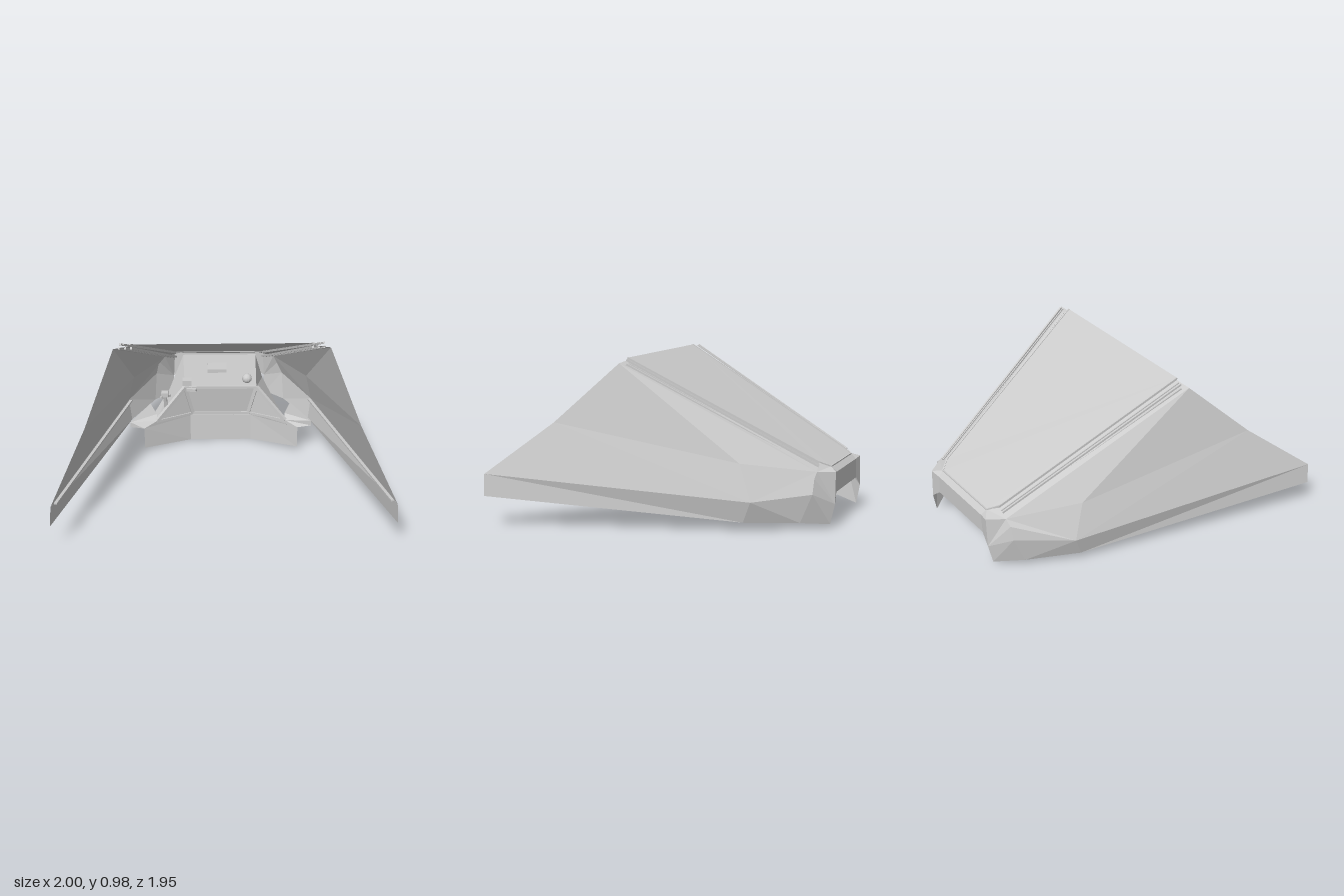
import * as THREE from 'three';

const mat = new THREE.MeshStandardMaterial({ color: 0xcccccc, flatShading: true, side: THREE.DoubleSide });
const flip = (p) => [-p[0], p[1], p[2]];

// Faceted sheet from named corner points; each face is a convex corner loop.
function sheet(name, faces) {
  const pos = [];
  for (const f of faces)
    for (let i = 1; i < f.length - 1; i++) pos.push(...f[0], ...f[i], ...f[i + 1]);
  const g = new THREE.BufferGeometry();
  g.setAttribute('position', new THREE.Float32BufferAttribute(pos, 3));
  g.computeVertexNormals();
  const m = new THREE.Mesh(g, mat);
  m.name = name;
  return m;
}

// The same sheet on both sides of the model.
function pair(name, faces) {
  const g = new THREE.Group();
  g.name = name + 's';
  g.add(sheet(name + 'Left', faces));
  g.add(sheet(name + 'Right', faces.map((f) => f.map(flip).reverse())));
  return g;
}

// Square bar between two points.
function bar(name, a, b, w = 0.012, h = w) {
  const A = new THREE.Vector3(...a), B = new THREE.Vector3(...b);
  const m = new THREE.Mesh(new THREE.BoxGeometry(w, h, A.distanceTo(B)), mat);
  m.position.copy(A).add(B).multiplyScalar(0.5);
  m.lookAt(B);
  m.name = name;
  return m;
}

function bars(name, a, b, w, h) {
  const g = new THREE.Group();
  g.name = name + 's';
  g.add(bar(name + 'Left', a, b, w, h), bar(name + 'Right', flip(a), flip(b), w, h));
  return g;
}

function box(name, size, at) {
  const m = new THREE.Mesh(new THREE.BoxGeometry(...size), mat);
  m.position.set(...at);
  m.name = name;
  return m;
}

function shell() {
  const g = new THREE.Group();
  g.name = 'shell';

  // Roof panel with clipped rear corners
  const P0 = [0.55, 0.98, 0.24], P1 = [0.30, 0.38, -0.87], P2 = [0.25, 0.35, -0.93];
  g.add(sheet('roofPanel', [[flip(P0), P0, P1, P2, flip(P2), flip(P1)]]));

  // Edge strips beside the panel
  const A = [0.65, 0.955, 0.25], H = [0.38, 0.335, -0.88];
  const S0 = [0.55, 0.965, 0.24], S1 = [0.30, 0.365, -0.87];
  g.add(pair('roofStrip', [[S0, A, H, S1], [P0, S0, S1, P1], [P1, S1, H, P2]]));

  // Large side plates
  const B = [0.81, 0.61, 0.60], C = [0.99, 0.31, 0.97], M = [0.575, 0.39, -0.47];
  const E = [0.62, 0.175, -0.55], F = [0.44, 0.21, -0.87], G = [0.42, 0.3, -0.875];
  g.add(pair('sidePlate', [[A, B, M], [A, M, H], [B, C, E], [B, E, M], [H, M, E], [H, E, F, G]]));

  // Lower skirt along the side plates
  const D = [1.0, 0.18, 0.97], E2 = [0.6, 0.05, -0.5], F2 = [0.45, 0.04, -0.8];
  const K = [0.32, 0.14, -0.975], K2 = [0.33, 0.02, -0.95];
  g.add(pair('sideSkirt', [[C, D, E2], [C, E2, E], [E, E2, F2], [E, F2, F], [F, F2, K2], [F, K2, K]]));

  // Rear fenders and the lip between them
  const L = [0.24, 0.32, -0.965], L2 = [0.25, 0.2, -0.965], N = [0.31, 0.33, -0.975];
  g.add(pair('rearFender', [[H, G, K], [G, F, K], [H, K, N], [N, K, L2, L], [P2, H, N], [P2, N, L]]));
  g.add(sheet('rearLip', [[P2, L, flip(L), flip(P2)], [L, L2, flip(L2), flip(L)]]));

  // Rails above and below the strips, panel rim and seam ledge
  g.add(bars('outerRail', [0.61, 0.972, 0.22], [0.345, 0.362, -0.88], 0.012));
  g.add(bars('innerRail', [0.59, 0.972, 0.22], [0.33, 0.366, -0.88], 0.007));
  for (const x of [0, 0.035, 0.07])
    g.add(bars('lowerRail', [0.545 + x, 0.945, 0.22], [0.30 + x * 0.6, 0.35, -0.85], 0.013));
  g.add(bars('panelRim', P0, P1, 0.008), bars('panelCornerRim', P1, P2, 0.008));
  g.add(bar('panelRearRim', P2, flip(P2), 0.008));
  g.add(bars('seamLedge', [0.965, 0.308, 0.93], [0.605, 0.18, -0.53], 0.018, 0.01));
  return g;
}

function cabin() {
  const g = new THREE.Group();
  g.name = 'cabin';

  // Chin band: recessed middle with swept-forward ends
  const a = [0.2, 0.18, -0.32], a2 = [0.2, 0.0, -0.31];
  const b = [0.5, 0.18, -0.145], b2 = [0.5, 0.035, -0.145];
  g.add(sheet('chinMiddle', [[flip(a), flip(a2), a2, a]]));
  g.add(pair('chinSide', [[a, a2, b2, b]]));

  // Windows, roof and side walls
  const w = [0.185, 0.195, -0.325], r = [0.235, 0.4, -0.3], s = [0.42, 0.21, -0.19];
  const q = [0.25, 0.38, -0.82], v = [0.3, 0.2, -0.82], v2 = [0.3, 0.05, -0.82];
  g.add(sheet('frontWindow', [[flip(w), w, r, flip(r)]]));
  g.add(pair('sideWindow', [[w, s, r]]));
  g.add(sheet('cabinRoof', [[flip(r), r, q, flip(q)]]));
  g.add(pair('upperWall', [[r, s, v, q]]));
  g.add(pair('lowerWall', [[s, b, b2, v2, v]]));
  g.add(sheet('rearWall', [[q, v, v2, flip(v2), flip(v), flip(q)]]));
  g.add(pair('sill', [[w, a, b, s]]));
  g.add(sheet('frontSill', [[flip(w), flip(a), a, w]]));

  // Side wedges
  const t = [0.59, 0.22, -0.16], t2 = [0.59, 0.185, -0.16], u = [0.42, 0.235, -0.24];
  const u2 = [0.47, 0.2, -0.45];
  g.add(pair('sideWedge', [[s, t, u], [s, b, t2, t], [u, t, u2], [b, u2, t2], [t, t2, u2]]));

  // Window frames
  g.add(bars('frontPost', w, r, 0.022));
  g.add(bars('sidePost', s, r, 0.022));
  g.add(bars('sideSillFrame', w, s, 0.016));
  g.add(bar('topFrame', flip(r), r, 0.018));
  g.add(bar('bottomFrame', flip(w), w, 0.018));

  // Roof fittings
  const dome = new THREE.Mesh(new THREE.SphereGeometry(0.032, 16, 12), mat);
  dome.position.set(0.175, 0.433, -0.36);
  dome.name = 'sensorDome';
  g.add(dome);
  g.add(box('sensorBox', [0.06, 0.035, 0.05], [-0.22, 0.442, -0.3]));
  g.add(bar('sensorPost', [-0.22, 0.39, -0.31], [-0.22, 0.43, -0.31], 0.025));
  g.add(bar('sensorArm', [-0.22, 0.39, -0.29], [-0.16, 0.395, -0.27], 0.02));
  g.add(box('sideLamp', [0.045, 0.03, 0.04], [-0.365, 0.385, -0.24]));
  g.add(bar('sideLampPost', [-0.36, 0.27, -0.28], [-0.365, 0.385, -0.25], 0.02));
  g.add(bar('sideLampArm', [-0.39, 0.37, -0.22], [-0.33, 0.36, -0.27], 0.016));
  g.add(box('roofHatch', [0.13, 0.025, 0.1], [-0.02, 0.405, -0.57]));
  return g;
}

export function createModel() {
  const model = new THREE.Group();
  model.name = 'shelteredCockpit';
  model.add(shell(), cabin());
  return model;
}
